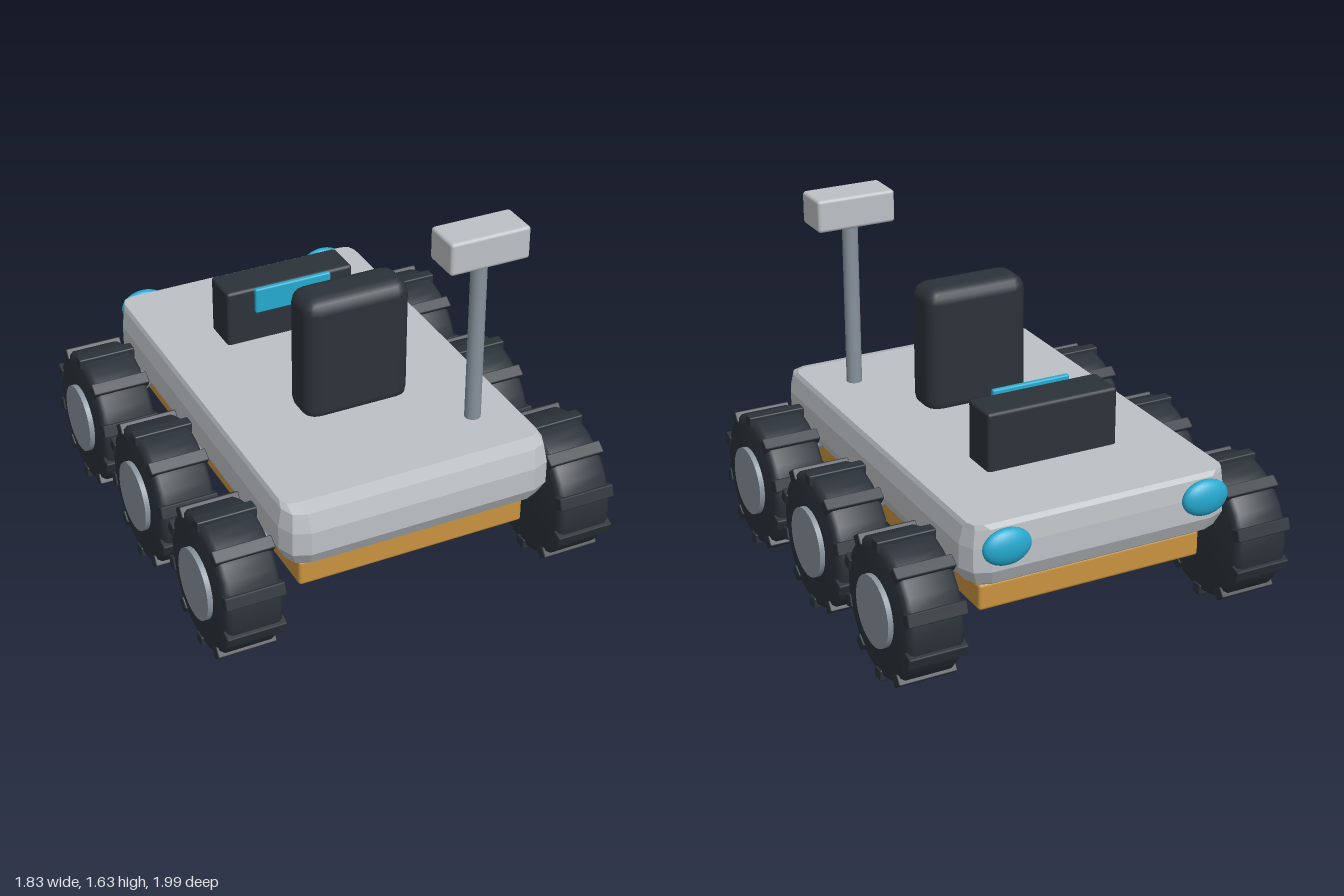
import * as THREE from 'three';
import { RoundedBoxGeometry } from 'three/addons/geometries/RoundedBoxGeometry.js';
import { toCreasedNormals } from 'three/addons/utils/BufferGeometryUtils.js';

const mat = (name, color, extra = {}) => {
  const m = new THREE.MeshStandardMaterial({ color, ...extra });
  m.name = name;
  return m;
};

// Hull: stacked rounded-rectangle rings, each [y, halfWidth, backZ, frontZ, corner]
function hullGeometry(rings) {
  const pos = [], idx = [];
  const n = 12;
  for (const [y, hx, zb, zf, c] of rings) {
    const corners = [[1, 1], [1, -1], [-1, -1], [-1, 1]];
    corners.forEach(([sx, sz], k) => {
      const cx = sx * (hx - c), cz = sz > 0 ? zf - c : zb + c;
      for (let j = 0; j < 3; j++) {
        const a = k * Math.PI / 2 + j * Math.PI / 4;
        pos.push(cx + c * Math.sin(a), y, cz + c * Math.cos(a));
      }
    });
  }
  for (let r = 0; r < rings.length - 1; r++)
    for (let i = 0; i < n; i++) {
      const a = r * n + i, b = r * n + (i + 1) % n;
      idx.push(a, b, a + n, b, b + n, a + n);
    }
  const top = (rings.length - 1) * n;
  for (let i = 1; i < n - 1; i++) {
    idx.push(0, i + 1, i);
    idx.push(top, top + i, top + i + 1);
  }
  const g = new THREE.BufferGeometry();
  g.setAttribute('position', new THREE.Float32BufferAttribute(pos, 3));
  g.setIndex(idx);
  g.computeVertexNormals();
  return g;
}

export function createModel() {
  const model = new THREE.Group();
  model.name = 'rover';
  const shell = mat('shell grey', 0xbcc0c4);
  const hullMat = mat('hull grey', 0xbcc0c4, { flatShading: true });
  hullMat.color.set(0xbcc0c4);
  const dark = mat('dark rubber', 0x2b3239);
  const metal = mat('metal grey', 0x87929c);
  const orange = mat('chassis orange', 0xc8923e);
  const cyan = mat('light cyan', 0x25a9cf);

  const add = (parent, name, geo, material, x = 0, y = 0, z = 0) => {
    const m = new THREE.Mesh(geo, material);
    m.name = name;
    m.position.set(x, y, z);
    parent.add(m);
    return m;
  };
  const box = (w, h, d, r, s = 2) => new RoundedBoxGeometry(w, h, d, s, r);

  // Body and chassis
  add(model, 'body', hullGeometry([
    [0.43, 0.54, -0.86, 0.88, 0.06],
    [0.46, 0.58, -0.905, 0.93, 0.08],
    [0.525, 0.612, -0.935, 0.965, 0.1],
    [0.63, 0.612, -0.935, 0.965, 0.1],
    [0.71, 0.597, -0.925, 0.94, 0.08],
    [0.73, 0.588, -0.912, 0.875, 0.05],
  ]), hullMat);
  add(model, 'chassis', box(1.04, 0.12, 1.7, 0.015), orange, 0, 0.36, 0.015);

  // Seat, console and screen on the deck
  add(model, 'seat', box(0.485, 0.59, 0.21, 0.065), dark, 0, 0.985, 0.262);
  add(model, 'console', box(0.61, 0.29, 0.18, 0.015), dark, 0, 0.845, -0.413);
  add(model, 'screen', box(0.365, 0.12, 0.024, 0.008), cyan, 0, 0.94, -0.302);

  // Camera mast
  add(model, 'mast', new THREE.CylinderGeometry(0.035, 0.035, 0.82, 20), metal, 0.395, 1.1, 0.632);
  add(model, 'cameraHead', box(0.362, 0.146, 0.178, 0.015), shell, 0.398, 1.558, 0.63);

  // Rear lamps
  for (const s of [-1, 1])
    add(model, 'rearLamp', new THREE.SphereGeometry(1, 24, 16), cyan, s * 0.46, 0.64, -0.957)
      .scale.set(0.108, 0.08, 0.043);

  // Wheel parts, with the axle along y
  const tyreProfile = [[0, -0.125], [0.26, -0.125], [0.29, -0.118], [0.303, -0.1],
    [0.303, 0.1], [0.29, 0.118], [0.26, 0.125], [0, 0.125]]
    .map(([r, y]) => new THREE.Vector2(r, y));
  const tyreGeo = toCreasedNormals(new THREE.LatheGeometry(tyreProfile, 32), 0.8);
  const hubGeo = new THREE.CylinderGeometry(0.154, 0.154, 0.06, 32);
  const lugGeo = box(0.05, 0.262, 0.056, 0.006, 1);
  const strutGeo = new THREE.CylinderGeometry(0.045, 0.045, 0.34, 16);

  for (const s of [-1, 1])
    for (const z of [0.685, 0.013, -0.66]) {
      const wheel = new THREE.Group();
      wheel.name = 'wheel';
      wheel.position.set(s * 0.765, 0.318, z);
      wheel.rotation.z = -s * Math.PI / 2;
      model.add(wheel);
      add(wheel, 'tyre', tyreGeo, dark);
      add(wheel, 'hub', hubGeo, metal, 0, 0.118, 0);
      for (let i = 0; i < 10; i++) {
        const a = i * Math.PI / 5;
        add(wheel, 'treadLug', lugGeo, dark, 0.292 * Math.cos(a), 0, 0.292 * Math.sin(a))
          .rotation.y = -a;
      }
      // Suspension strut sloping from the hull down to the wheel
      add(model, 'strut', strutGeo, metal, s * 0.6, 0.435, z).rotation.z = s * 1.03;
    }
  return model;
}
